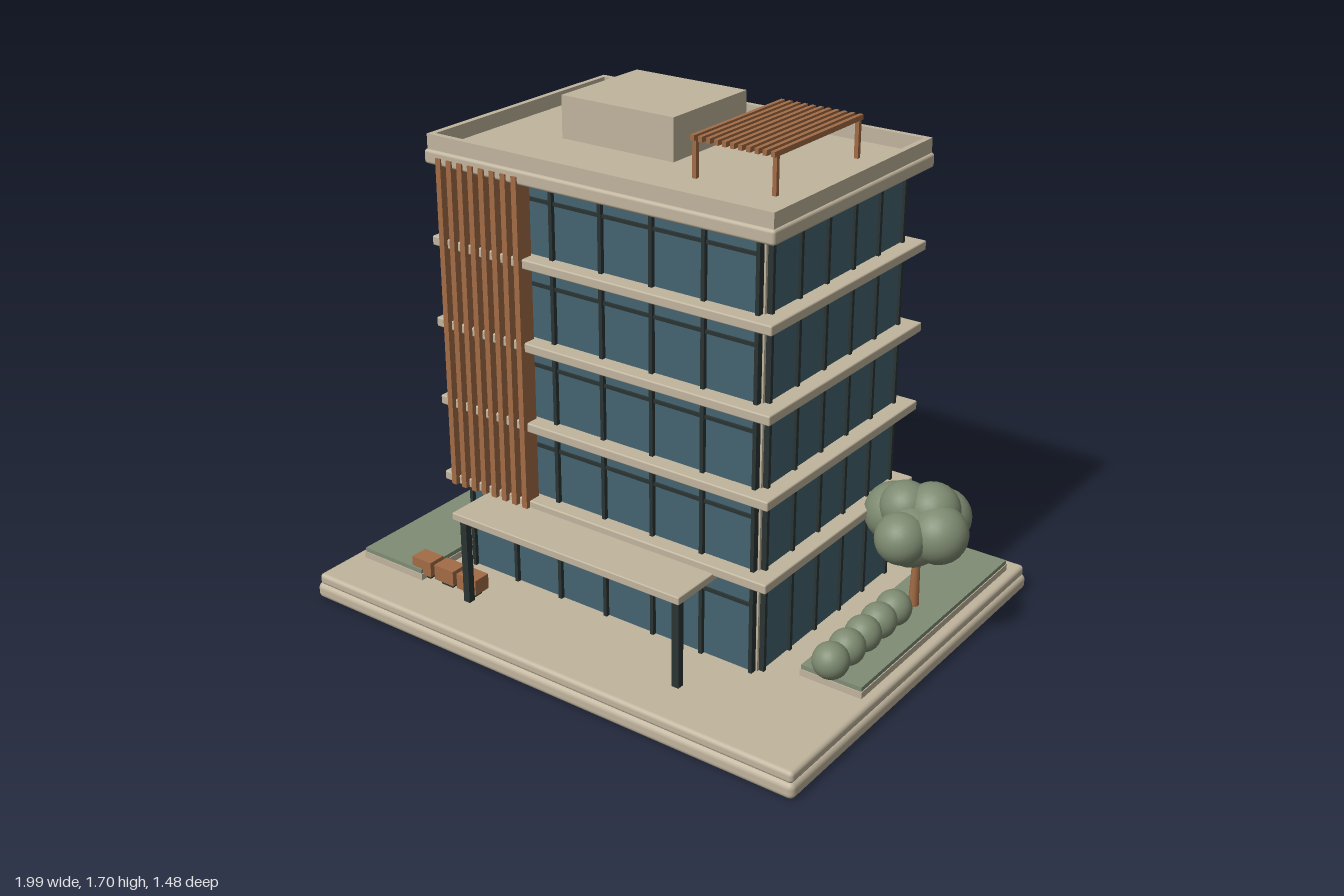
import * as THREE from 'three';
import { RoundedBoxGeometry } from 'three/addons/geometries/RoundedBoxGeometry.js';

const mat = (name, color) => {
  const m = new THREE.MeshStandardMaterial({ color });
  m.name = name;
  return m;
};

export function createModel() {
  const root = new THREE.Group();
  root.name = 'officeBuilding';
  const stone = mat('stone', 0xc0b49d);
  const glass = mat('glass', 0x446270);
  const frame = mat('darkFrame', 0x2a3433);
  const wood = mat('wood', 0xa26c45);
  const lawn = mat('lawn', 0x7f8d74);
  const leaf = mat('foliage', 0x7d8a70);

  const group = (name, parent = root) => {
    const g = new THREE.Group();
    g.name = name;
    parent.add(g);
    return g;
  };
  // Box given by its limits on each axis; r > 0 rounds the edges
  const box = (name, m, [x0, x1], [y0, y1], [z0, z1], parent = root, r = 0) => {
    const s = [x1 - x0, y1 - y0, z1 - z0];
    const geo = r ? new RoundedBoxGeometry(...s, 3, r) : new THREE.BoxGeometry(...s);
    const mesh = new THREE.Mesh(geo, m);
    mesh.position.set((x0 + x1) / 2, (y0 + y1) / 2, (z0 + z1) / 2);
    mesh.name = name;
    parent.add(mesh);
    return mesh;
  };
  const around = (c, w) => [c - w / 2, c + w / 2];

  // Stepped base
  box('baseLower', stone, [-0.945, 0.967], [0, 0.056], [-0.741, 0.738], root, 0.02);
  box('baseUpper', stone, [-0.937, 0.959], [0.05, 0.09], [-0.733, 0.73], root, 0.014);

  // Tower body with glazing on the front and right
  box('towerWalls', stone, [-0.555, 0.588], [0.08, 1.52], [-0.412, 0.352]);
  box('frontGlass', glass, [-0.55, 0.572], [0.09, 1.515], [0.35, 0.36]);
  box('rightGlass', glass, [0.586, 0.596], [0.09, 1.515], [-0.41, 0.338]);

  // Mullions
  const mullions = group('mullions');
  for (let i = 0; i < 7; i++)
    box('frontMullion', frame, around(-0.553 + i * 0.188, 0.013), [0.09, 1.515], [0.352, 0.374], mullions);
  for (let i = 0; i < 6; i++)
    box('rightMullion', frame, [0.588, 0.606], [0.09, 1.515], around(0.336 - i * 0.148, 0.013), mullions);
  for (const y of [0.325, 0.627, 0.907, 1.18, 1.455])
    box('transom', frame, [-0.553, 0.575], around(y, 0.011), [0.352, 0.368], mullions);

  // Floor slabs and roof slab
  for (const y of [0.43, 0.707, 0.982, 1.259])
    box('floorSlab', stone, [-0.627, 0.653], around(y, 0.032), [-0.466, 0.417], root, 0.005);
  box('roofSlab', stone, [-0.635, 0.661], [1.513, 1.56], [-0.475, 0.427], root, 0.01);

  // Parapet ring
  const parapet = group('parapet');
  for (const x of [-0.617, 0.643])
    box('parapetSide', stone, around(x, 0.02), [1.555, 1.608], [-0.466, 0.417], parapet);
  for (const z of [-0.456, 0.407])
    box('parapetEnd', stone, [-0.607, 0.633], [1.555, 1.608], around(z, 0.02), parapet);

  // Rooftop plant room
  box('plantRoom', stone, [-0.36, 0.073], [1.555, 1.7], [-0.305, 0.085]);

  // Rooftop pergola
  const pergola = group('pergola');
  for (let i = 0; i < 11; i++)
    box('pergolaSlat', wood, around(0.215 + i * 0.0281, 0.014), [1.678, 1.695], [-0.298, 0.188], pergola);
  for (const x of [0.215, 0.496]) for (const z of [-0.282, 0.17])
    box('pergolaPost', wood, around(x, 0.014), [1.555, 1.68], around(z, 0.014), pergola);

  // Vertical timber fins
  const fins = group('fins');
  for (let i = 0; i < 8; i++)
    box('fin', wood, around(-0.572 + i * 0.0436, 0.02), [0.418, 1.54], [0.372, 0.433], fins);

  // Entrance canopy
  const canopy = group('canopy');
  box('canopyRoof', stone, [-0.436, 0.464], [0.396, 0.423], [0.35, 0.594], canopy, 0.004);
  for (const x of [-0.41, 0.436])
    box('canopyPost', frame, around(x, 0.025), [0.085, 0.4], around(0.56, 0.025), canopy);

  // Planting beds
  const beds = [['leftBed', [-0.89, -0.625], [-0.648, 0.558]], ['rightBed', [0.705, 0.925], [-0.665, 0.293]]];
  for (const [name, x, z] of beds) {
    const bed = group(name);
    box('curb', stone, x, [0.085, 0.113], z, bed);
    box('grass', lawn, [x[0] + 0.003, x[1] - 0.003], [0.11, 0.128], [z[0] + 0.003, z[1] - 0.003], bed);
  }

  // Bench blocks
  const benches = group('benches');
  for (let i = 0; i < 3; i++) {
    const x = -0.633 + i * 0.1;
    box('benchBlock', wood, around(x, 0.083), [0.108, 0.162], [0.485, 0.548], benches);
    box('benchFoot', frame, around(x, 0.05), [0.085, 0.11], [0.5, 0.533], benches);
  }

  // Foliage balls: x, y, z, radius
  const ball = (name, parent, [x, y, z, r]) => {
    const mesh = new THREE.Mesh(new THREE.IcosahedronGeometry(r, 4), leaf);
    mesh.position.set(x, y, z);
    mesh.name = name;
    parent.add(mesh);
  };
  const tree = (name, foot, top, balls) => {
    const g = group(name);
    const a = new THREE.Vector3(...foot), b = new THREE.Vector3(...top);
    const trunk = new THREE.Mesh(new THREE.CylinderGeometry(0.011, 0.018, a.distanceTo(b), 10), wood);
    trunk.position.copy(a).lerp(b, 0.5);
    trunk.quaternion.setFromUnitVectors(new THREE.Vector3(0, 1, 0), b.clone().sub(a).normalize());
    trunk.name = 'trunk';
    g.add(trunk);
    balls.forEach((s) => ball('foliage', g, s));
  };
  tree('leftTree', [-0.755, 0.12, -0.25], [-0.73, 0.42, -0.25], [
    [-0.735, 0.45, -0.12, 0.127], [-0.88, 0.49, -0.26, 0.12], [-0.69, 0.565, -0.25, 0.115],
    [-0.80, 0.545, -0.22, 0.11], [-0.645, 0.46, -0.27, 0.115], [-0.72, 0.47, -0.37, 0.11],
    [-0.83, 0.46, -0.36, 0.1]]);
  tree('rightTree', [0.81, 0.12, -0.225], [0.812, 0.38, -0.225], [
    [0.81, 0.405, -0.18, 0.105], [0.895, 0.425, -0.2, 0.097], [0.71, 0.425, -0.25, 0.1],
    [0.765, 0.475, -0.22, 0.085], [0.845, 0.475, -0.25, 0.09], [0.845, 0.42, -0.32, 0.095],
    [0.76, 0.41, -0.31, 0.085], [0.81, 0.42, -0.115, 0.085]]);

  // Row of bushes
  const bushes = group('bushes');
  for (let i = 0; i < 5; i++)
    ball('bush', bushes, [0.808, 0.178, 0.283 - i * 0.095, 0.059]);

  return root;
}
